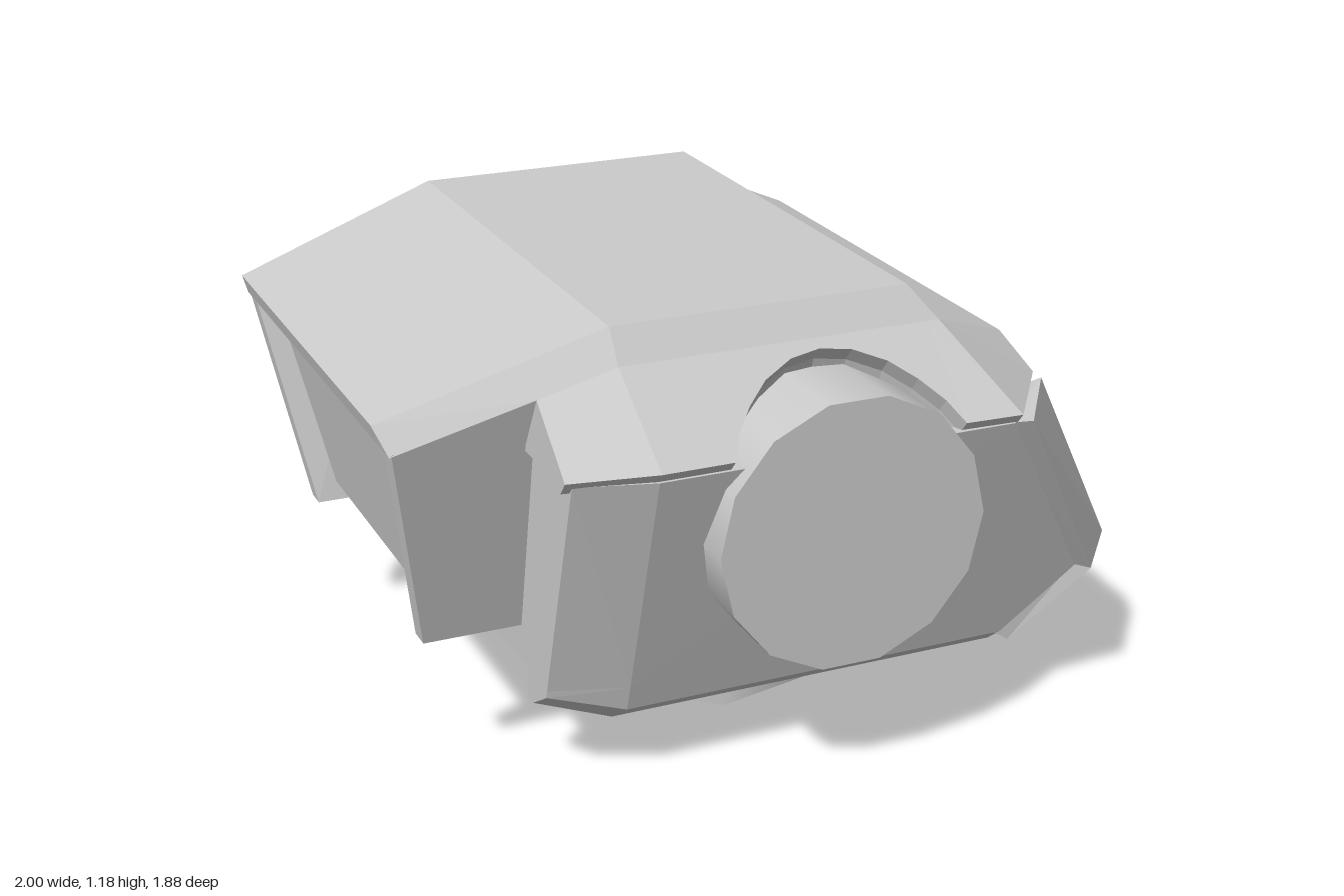
import * as THREE from 'three';
import { ConvexGeometry } from 'three/addons/geometries/ConvexGeometry.js';

const flat = new THREE.MeshStandardMaterial({ color: 0xcccccc, flatShading: true, side: THREE.DoubleSide });
const smooth = new THREE.MeshStandardMaterial({ color: 0xcccccc, side: THREE.DoubleSide });

const flip = ([x, y, z]) => [x, y, -z];
const mirrored = (points) => [...points, ...points.map(flip)];

function part(name, geometry, material = flat) {
  const mesh = new THREE.Mesh(geometry, material);
  mesh.name = name;
  return mesh;
}

// Convex solid through a handful of corner points
function hull(name, points) {
  return part(name, new ConvexGeometry(points.map((p) => new THREE.Vector3(...p))));
}

// Faceted surface from polygons, each turned to face away from a centre
function panels(name, polygons, centre) {
  const positions = [];
  const c = new THREE.Vector3(...centre);
  const tri = new THREE.Triangle();
  const n = new THREE.Vector3();
  for (const poly of polygons) {
    for (let i = 1; i < poly.length - 1; i++) {
      let t = [poly[0], poly[i], poly[i + 1]];
      tri.set(...t.map((p) => new THREE.Vector3(...p)));
      tri.getNormal(n);
      if (n.dot(tri.a.clone().sub(c)) < 0) t = [t[0], t[2], t[1]];
      positions.push(...t.flat());
    }
  }
  const g = new THREE.BufferGeometry();
  g.setAttribute('position', new THREE.Float32BufferAttribute(positions, 3));
  g.computeVertexNormals();
  return part(name, g);
}

// Quads joining two rows of points
const strip = (a, b) => a.slice(1).map((p, i) => [a[i], p, b[i + 1], b[i]]);

// x on the sloping window plane at height y, sunk by depth d
const slopeX = (y, d) => 0.65 + (0.91 - y) * 0.648 - d / 0.839;

function makeRoof() {
  const rearTop = [-1, 1.0, 0.59], midTop = [-0.45, 1.18, 0.66], frontTop = [0.32, 1.18, 0.66];
  const rearLow = [-0.975, 0.935, 0.64], step = [-0.64, 1.04, 0.69];
  const midLow = [-0.45, 1.1, 0.715], frontLow = [0.38, 1.1, 0.715];
  const lip = [0.61, 1.01, 0.62], lipCorner = [0.655, 0.925, 0.715];
  const rimRear = [-0.64, 0.9, 0.86], rimFront = [0.5, 0.91, 0.925];
  const lipIn = [0.585, 0.97, 0.63], cornerIn = [0.62, 0.895, 0.69];
  const rearIn = [-0.985, 0.95, 0.59], overhang = [-0.9, 0.97, 0.59];

  // Skirt edge with an arched notch over the side drum
  const arch = [[-0.43, 0.91], [-0.25, 0.91], [-0.22, 0.955], [-0.17, 1.0], [-0.11, 1.04], [-0.03, 1.07],
    [0.05, 1.08], [0.13, 1.07], [0.21, 1.04], [0.27, 1.0], [0.32, 0.955], [0.35, 0.91]];
  const rim = [...arch.map(([x, y]) => [x, y, 0.715 + (1.1 - y) * 1.07]), rimFront];
  const crest = rim.map(([x]) => [THREE.MathUtils.clamp(x, -0.45, 0.38), 1.1, 0.715]);
  crest[0] = midLow;
  const inset = ([x, y, z]) => [x, y - 0.035, z - 0.03];
  const liner = ([x, y, z]) => [x, y - 0.09, z - 0.05];
  const edge = [rimRear, ...rim];

  const half = [
    [rearTop, midTop, midLow, step, rearLow],
    [midTop, frontTop, frontLow, midLow],
    [step, midLow, rim[0], rimRear],
    ...strip(crest, rim),
    ...strip(edge, edge.map(inset)),
    ...strip(rim.map(inset), rim.map(liner)),
    [frontLow, lip, lipCorner, rimFront],
    [rimFront, lipCorner, cornerIn, inset(rimFront)],
    [lipCorner, lip, lipIn, cornerIn],
    [rearTop, rearLow, rearIn],
    [step, rimRear, [-0.64, 0.885, 0.84], [-0.64, 0.885, 0.6]],
  ];
  const across = [[rearTop, midTop], [midTop, frontTop], [frontTop, frontLow], [frontLow, lip],
    [lip, lipIn], [rearTop, rearIn]].map(([a, b]) => [a, b, flip(b), flip(a)]);
  const roof = panels('roof', [...half, ...half.map((p) => p.map(flip)), ...across], [-0.1, 0.8, 0]);
  const under = panels('roofUnderside', [[rearIn, overhang, flip(overhang), flip(rearIn)]], [-0.8, 1.4, 0]);
  return [roof, under];
}

function makeWindow() {
  const group = new THREE.Group();
  group.name = 'window';
  // Rings of the stepped frame: top y, top z, corner cut, bottom y, bottom z, depth
  const rings = [[0.965, 0.695, 0.05, 0.385, 0.54, 0.02], [0.945, 0.665, 0.05, 0.42, 0.51, 0.015],
    [0.89, 0.61, 0.015, 0.44, 0.495, 0.05], [0.875, 0.58, 0.01, 0.46, 0.465, 0.05]]
    .map(([yt, zt, cut, yb, zb, d]) => {
      const side = [[yt, zt - cut], [yt - cut, zt], [yb, zb]].map(([y, z]) => [slopeX(y, d), y, z]);
      return [...side, ...side.map(flip).reverse(), side[0]];
    });
  const faces = rings.slice(1).flatMap((r, i) => strip(rings[i], r));
  group.add(panels('windowFrame', faces, [-3, -1.5, 0]));
  group.add(panels('glass', [rings[3].slice(0, 6)], [-3, -1.5, 0]));
  // Roof lip down to the frame
  const l = [0.585, 0.97, 0.63], t = rings[0][0];
  group.add(panels('windowHeader', [[l, t, flip(t), flip(l)]], [0, 0.8, 0]));

  // Fine marks on the glass, each between two (y, z) points
  const mark = (y0, z0, y1, z1) => {
    const a = new THREE.Vector3(slopeX(y0, 0.049), y0, z0);
    const b = new THREE.Vector3(slopeX(y1, 0.049), y1, z1);
    const m = part('glassMark', new THREE.BoxGeometry(0.005, 0.005, a.distanceTo(b)));
    m.position.copy(a).lerp(b, 0.5);
    m.lookAt(b);
    group.add(m);
  };
  mark(0.52, -0.06, 0.52, 0.41);
  for (const s of [1, -1]) {
    mark(0.87, s * 0.585, 0.77, s * 0.555);
    mark(0.54, s * 0.485, 0.47, s * 0.455);
    mark(0.47, s * 0.455, 0.47, s * 0.43);
  }
  return group;
}

export function createModel() {
  const model = new THREE.Group();

  // Hull below the roof, its floor set up inside the lower skirt
  model.add(hull('body', mirrored([
    [-0.62, 0.885, 0.85], [-0.43, 0.885, 0.905], [0.49, 0.885, 0.91], [0.55, 0.885, 0.68],
    [0.79, 0.39, 0.755], [0.87, 0.385, 0.55], [0.68, 0.28, 0.722], [0.82, 0.28, 0.5],
    [-0.43, 0.28, 0.722], [-0.62, 0.28, 0.66],
  ])));
  model.add(hull('chin', mirrored([
    [0.96, 0.385, 0.54], [0.83, 0.385, 0.54], [0.735, 0.14, 0.49], [0.67, 0.14, 0.49],
  ])));
  // Rear box, its back panel set in between the fins
  model.add(hull('rearPanel', mirrored([
    [-0.925, 0.97, 0.59], [-0.6, 1.05, 0.6], [-0.6, 0.43, 0.45], [-0.815, 0.43, 0.45],
  ])));
  model.add(...makeRoof(), makeWindow());

  // Hollow lower skirt in two lengths: side, then tapered rear end
  const skirtMid = [[-0.43, 0.28, 0.722], [-0.43, 0.21, 0.7], [-0.43, 0.14, 0.6], [-0.43, 0.14, 0.57], [-0.43, 0.28, 0.57]];
  const skirtFront = [[0.68, 0.28, 0.722], [0.61, 0.21, 0.7], [0.64, 0.14, 0.6], [0.72, 0.14, 0.5], [0.72, 0.28, 0.5]];
  const skirtRear = [[-0.62, 0.28, 0.66], [-0.62, 0.26, 0.655], [-0.62, 0.2, 0.56], [-0.62, 0.2, 0.53], [-0.62, 0.28, 0.53]];

  // Front pillar cross-sections at the roof, the knee and the foot
  const pillar = [
    [[0.475, 0.88, 0.89], [0.53, 0.89, 0.925], [0.68, 0.905, 0.715], [0.62, 0.88, 0.69]],
    [[0.785, 0.392, 0.75], [0.83, 0.38, 0.77], [1, 0.37, 0.565], [0.95, 0.385, 0.53]],
    [[0.6, 0.205, 0.69], [0.64, 0.18, 0.695], [0.76, 0.11, 0.5], [0.72, 0.14, 0.48]],
  ];
  const loops = pillar.map((s) => [...s, s[0]]);
  const pillarFaces = [...strip(loops[0], loops[1]), ...strip(loops[1], loops[2]), pillar[0], pillar[2]];

  // Rear fins leaning in toward their lower edge
  const finSide = [[-0.97, 0.94], [-0.62, 1.045], [-0.61, 0.38], [-0.87, 0.38]];
  const fin = [0, 0.06].flatMap((t) => finSide.map(([x, y], i) => [x, y, (i < 2 ? 0.64 : 0.49) - t]));

  for (const [side, fix] of [['left', (p) => p], ['right', flip]]) {
    model.add(panels(side + 'Pillar', pillarFaces.map((f) => f.map(fix)), fix([0.79, 0.43, 0.65])));
    model.add(hull(side + 'RearFin', fin.map(fix)));
    model.add(hull(side + 'Skirt', [...skirtMid, ...skirtFront].map(fix)));
    model.add(hull(side + 'SkirtRear', [...skirtMid, ...skirtRear].map(fix)));
  }

  // Side drums: one 14-sided shaft right through, flat side up
  const drumSide = new THREE.CylinderGeometry(0.345, 0.345, 1.88, 14, 1);
  drumSide.rotateY(Math.PI / 14).rotateX(Math.PI / 2);
  const drum = part('sideDrums', drumSide, smooth);
  drum.position.set(0.05, 0.685, 0);
  model.add(drum);

  // Open seven-sided neck ring underneath, one corner toward the window
  const neckSide = new THREE.CylinderGeometry(0.436, 0.436, 0.3, 7, 1, true);
  neckSide.rotateY(Math.PI / 2);
  const neck = part('neck', neckSide, smooth);
  neck.position.set(0.054, 0.15, 0);
  model.add(neck);

  return model;
}
